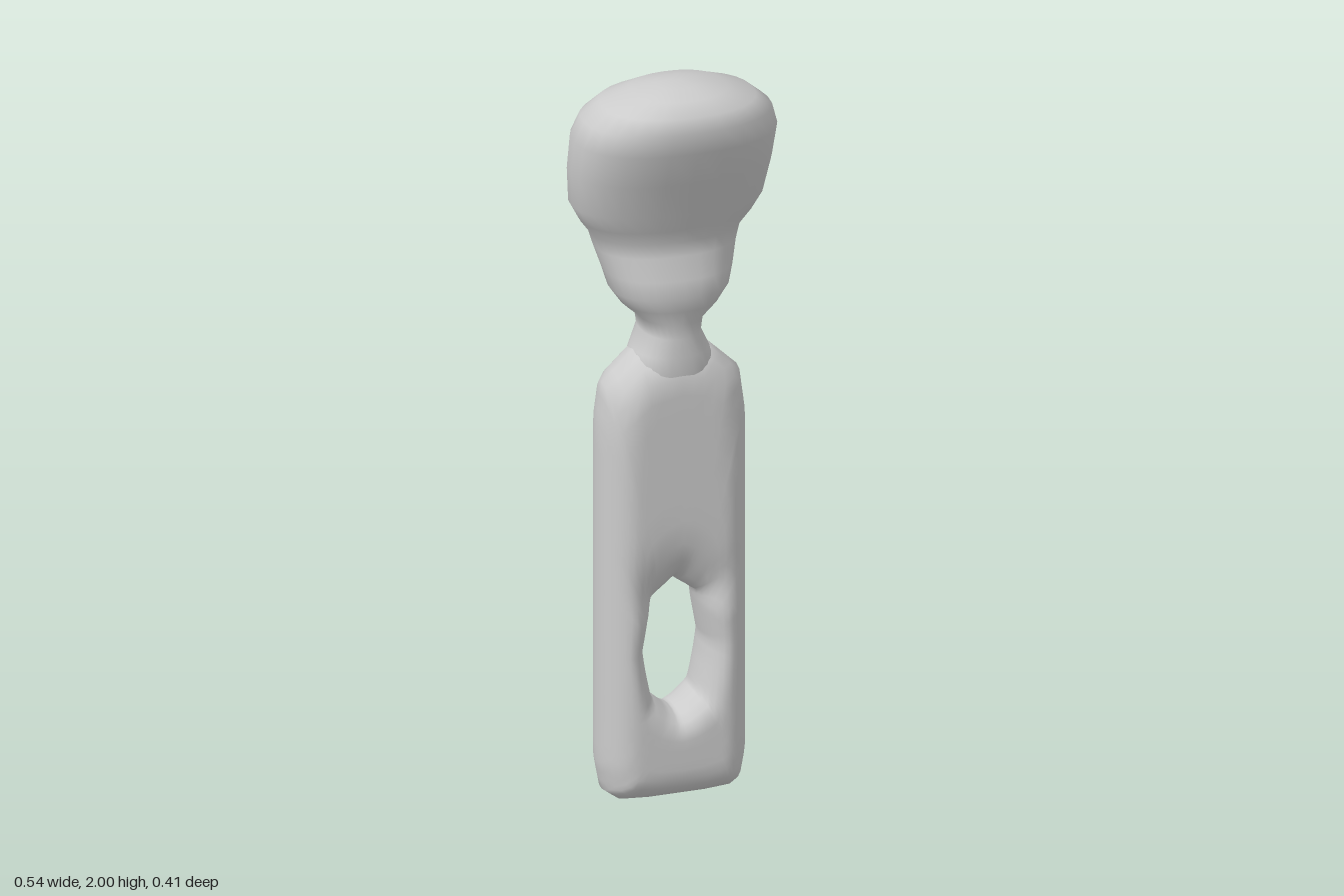
import * as THREE from 'three';
import { mergeVertices } from 'three/addons/utils/BufferGeometryUtils.js';

// Smooth surface from a grid of points; seams and poles are welded
function surface(point, nu, nv) {
  const pos = [], index = [];
  for (let i = 0; i <= nu; i++) for (let j = 0; j <= nv; j++) pos.push(...point(i, j));
  for (let i = 0; i < nu; i++) for (let j = 0; j < nv; j++) {
    const a = i * (nv + 1) + j, b = a + nv + 1;
    index.push(a, b, b + 1, a, b + 1, a + 1);
  }
  let geo = new THREE.BufferGeometry();
  geo.setAttribute('position', new THREE.Float32BufferAttribute(pos, 3));
  geo.setIndex(index);
  geo = mergeVertices(geo, 1e-4);
  geo.computeVertexNormals();
  return geo;
}

// Half outline points [outer x, y, hole x, y], bottom centre to top centre
const HALF = [
  [0, 0, 0, 0.24], [0.08, 0, 0.02, 0.25], [0.15, 0.005, 0.045, 0.272],
  [0.185, 0.03, 0.06, 0.285], [0.2, 0.11, 0.068, 0.32], [0.2, 0.25, 0.078, 0.37],
  [0.2, 0.42, 0.085, 0.42], [0.2, 0.6, 0.077, 0.465], [0.2, 0.85, 0.068, 0.515],
  [0.2, 1.05, 0.06, 0.555], [0.185, 1.16, 0.045, 0.567], [0.1, 1.24, 0.022, 0.583],
  [0, 1.26, 0, 0.6],
];

// Flat slab with softly rounded edges around its outline and its hole
function bodyGeometry() {
  const mirrored = HALF.slice(1, -1).reverse().map(([x, y, hx, hy]) => [-x, y, -hx, hy]);
  const loop = [...HALF, ...mirrored], n = loop.length, sub = 3, across = 28;
  const at = (k, o) => new THREE.Vector3(loop[k % n][o], loop[k % n][o + 1], 0);
  const edges = (o) => loop.map((_, k) => new THREE.Line3(at(k, o), at(k + 1, o)));
  const outer = edges(0), hole = edges(2), near = new THREE.Vector3();
  const distance = (p, lines) => Math.min(...lines.map(
    (l) => l.closestPointToPoint(p, true, near).distanceTo(p)));
  const round = (d, r) => Math.sqrt(1 - (1 - Math.min(d / r, 1)) ** 2);

  return surface((i, j) => {
    const k = Math.floor(i / sub) % n, t = (i % sub) / sub;
    const v = ((j % across) / across) * Math.PI * 2;
    const p = outer[k].at(t, new THREE.Vector3());
    p.lerp(hole[k].at(t, new THREE.Vector3()), (1 - Math.cos(v)) / 2);
    // the dip around the hole widens above it
    const dip = 0.06 + THREE.MathUtils.clamp(p.y - 0.52, 0, 0.1);
    const z = 0.105 * round(distance(p, outer), 0.085) * round(distance(p, hole), dip);
    const side = j % (across / 2) === 0 ? 0 : Math.sign(Math.sin(v));
    return [p.x, p.y, -0.02 + side * z];
  }, n * sub, across);
}

// Neck and head sections: [y, half width, back z, front z]
const RINGS = [
  [1.1, 0.1, -0.115, 0.075], [1.19, 0.12, -0.124, 0.083], [1.24, 0.1, -0.126, 0.084],
  [1.29, 0.077, -0.127, 0.08], [1.33, 0.083, -0.13, 0.08], [1.37, 0.128, -0.145, 0.092],
  [1.41, 0.156, -0.16, 0.104], [1.46, 0.17, -0.173, 0.1], [1.52, 0.188, -0.19, 0.08],
  [1.56, 0.2, -0.197, 0.08], [1.6, 0.23, -0.2, 0.097], [1.65, 0.258, -0.2, 0.115],
  [1.75, 0.27, -0.19, 0.155], [1.85, 0.272, -0.172, 0.198], [1.91, 0.252, -0.146, 0.205],
  [1.95, 0.205, -0.115, 0.195], [1.98, 0.125, -0.062, 0.155], [1.994, 0.062, -0.005, 0.1],
  [2, 0, 0.045, 0.045],
];

function headGeometry() {
  const sides = 28, power = 2 / 2.3;
  const bulge = (c) => Math.sign(c) * Math.abs(c) ** power;
  return surface((i, j) => {
    const [y, w, back, front] = RINGS[i];
    const a = ((j % sides) / sides) * Math.PI * 2;
    return [w * bulge(Math.cos(a)), y, (front + back) / 2 + ((front - back) / 2) * bulge(Math.sin(a))];
  }, RINGS.length - 1, sides);
}

export function createModel() {
  const group = new THREE.Group();
  const material = new THREE.MeshStandardMaterial({ color: 0xcccccc });
  const parts = { body: bodyGeometry(), head: headGeometry() };
  for (const [name, geometry] of Object.entries(parts)) {
    const mesh = new THREE.Mesh(geometry, material);
    mesh.name = name;
    group.add(mesh);
  }
  return group;
}
